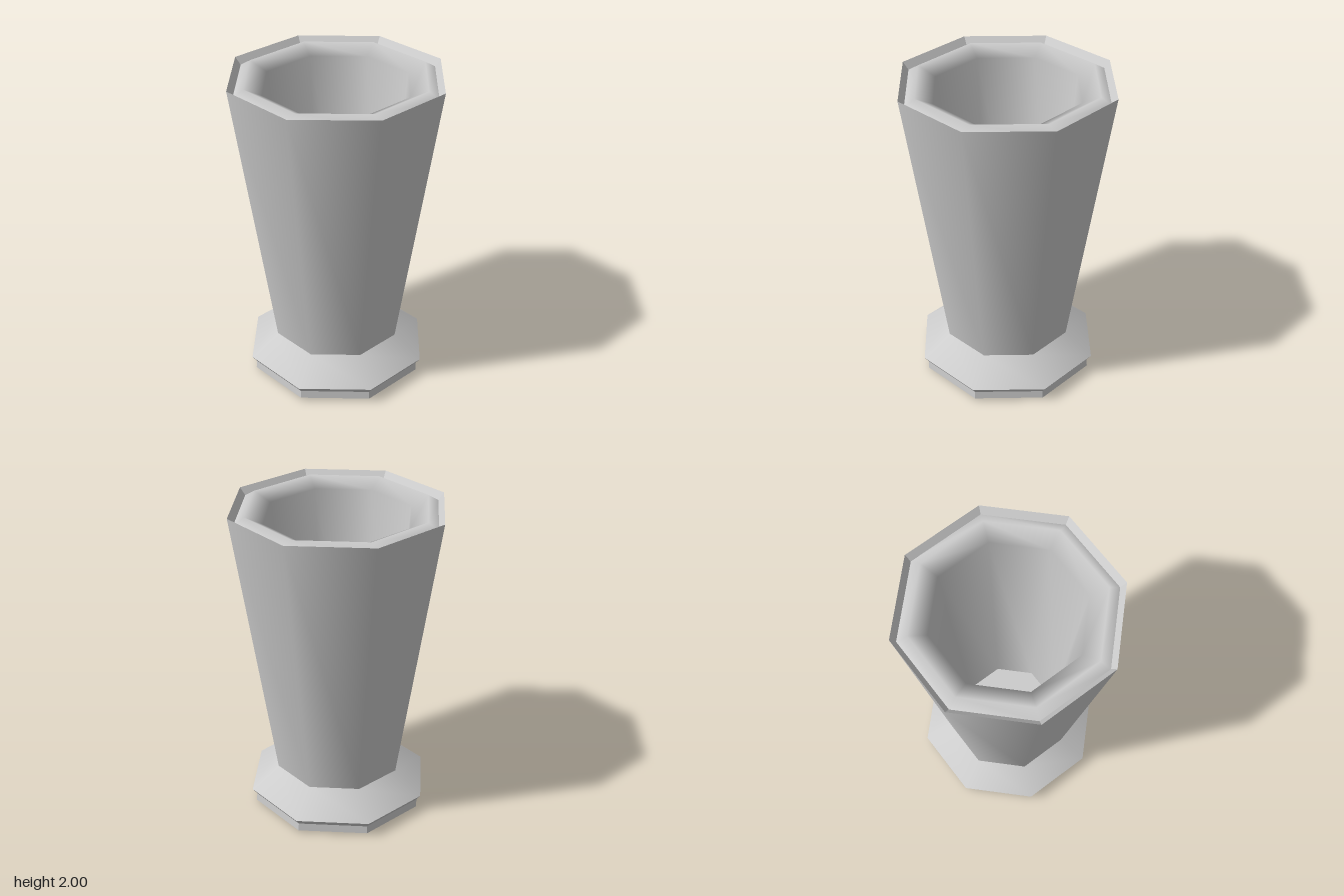
import * as THREE from 'three';

const SIDES = 8;

export function createModel() {
  const group = new THREE.Group();
  group.name = 'octagonalTumbler';
  const grey = new THREE.MeshStandardMaterial({ color: 0xcccccc });
  grey.name = 'grey';

  // Revolves a profile of [radius, height] points into an eight-sided band
  function addBand(name, profile, flat = false) {
    const points = profile.map(([r, y]) => new THREE.Vector2(r, y));
    let geometry = new THREE.LatheGeometry(points, SIDES);
    if (flat) {
      geometry = geometry.toNonIndexed();
      geometry.computeVertexNormals();
    }
    const mesh = new THREE.Mesh(geometry, grey);
    mesh.name = name;
    group.add(mesh);
  }

  // Foot: hollow underside, bottom ring, faceted edge and sloping shoulder
  addBand('footHollow', [[0, 0.15], [0.47, 0]]);
  addBand('footRing', [[0.47, 0], [0.565, 0.015]], true);
  addBand('footEdge', [[0.565, 0.015], [0.56, 0.065]], true);
  addBand('footFlare', [[0.56, 0.065], [0.59, 0.105]], true);
  addBand('footShoulder', [[0.59, 0.105], [0.41, 0.25]]);

  // Tapered outer wall
  addBand('outerWall', [[0.41, 0.25], [0.67, 2]]);

  // Rim: outer edge falls into a groove, then a rounded lip runs into the cup
  addBand('rimEdge', [[0.67, 2], [0.635, 1.955]], true);
  addBand('innerWall', [[0.635, 1.955], [0.57, 1.995], [0.46, 1.94], [0.31, 0.28]]);
  addBand('cupFloor', [[0.31, 0.28], [0, 0.28]], true);

  return group;
}
